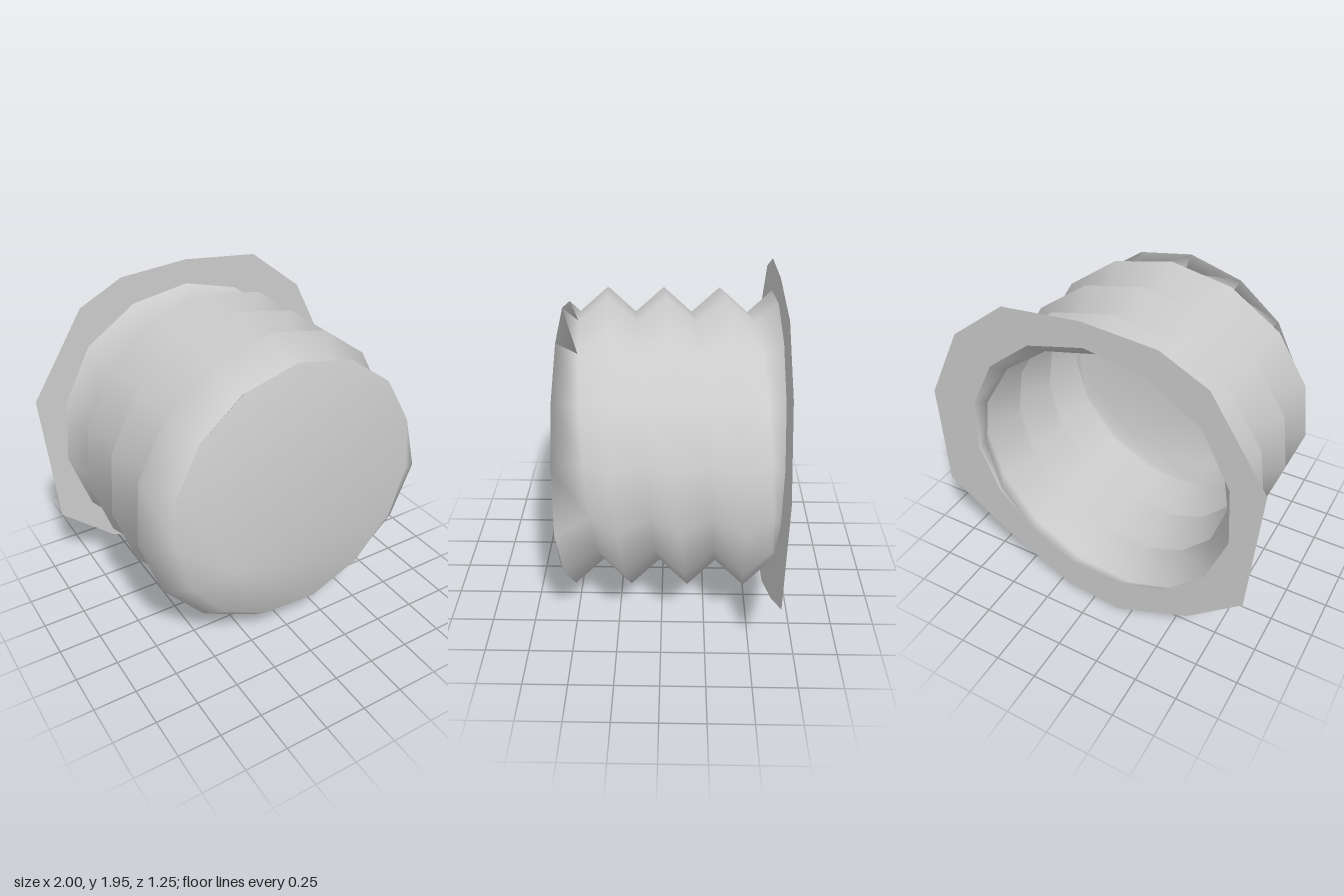
import * as THREE from 'three';
import { mergeVertices } from 'three/addons/utils/BufferGeometryUtils.js';

const SIDES = 15, PITCH = 0.32, BACK = -0.62, FRONT = 0.545;
const RIDGE = 0.86, VALLEY = 0.72, CX = -0.015, CY = 0.98;

// Point on the spiral fold: k counts half turns of the thread (even = ridge, odd = valley)
function foldPoint(i, k) {
  const turn = i / SIDES, phi = turn * Math.PI * 2;
  const start = 0.30 + PITCH * turn;
  const z = THREE.MathUtils.clamp(start + k * PITCH / 2, BACK, FRONT);
  const cycle = (z - start) / PITCH;
  const away = Math.abs(cycle - Math.round(cycle)) * 2;
  let r = THREE.MathUtils.lerp(RIDGE, VALLEY, away);
  if (z === FRONT) r = Math.min(r, 0.8);
  return [CX - Math.sin(phi) * r, CY + Math.cos(phi) * r, z];
}

// Spiral bellows wall closed at the front by a shallow off-centre cone
function bellowsGeometry() {
  const pos = [];
  const first = -8, last = 2, apex = [-0.46, 0.7, 0.63];
  for (let i = 0; i < SIDES; i++) {
    for (let k = first; k < last; k++) {
      const a = foldPoint(i, k), b = foldPoint(i + 1, k);
      const c = foldPoint(i + 1, k + 1), d = foldPoint(i, k + 1);
      if (a[2] < b[2] || b[2] < c[2]) pos.push(...a, ...b, ...c);
      if (a[2] < d[2] || d[2] < c[2]) pos.push(...a, ...c, ...d);
    }
    pos.push(...foldPoint(i, last), ...foldPoint(i + 1, last), ...apex);
  }
  const g = new THREE.BufferGeometry();
  g.setAttribute('position', new THREE.Float32BufferAttribute(pos, 3));
  const merged = mergeVertices(g, 1e-3);
  merged.computeVertexNormals();
  return merged;
}

// Thin uneven flange around the open back
function flangeGeometry() {
  const outline = [
    [-0.42, 1.92], [-0.01, 1.95], [0.45, 1.90], [0.78, 1.64], [1.0, 1.20], [0.99, 0.55], [0.6, 0.28],
    [0.17, 0.04], [-0.17, 0], [-0.62, 0.2], [-0.94, 0.48], [-1.0, 1.29], [-0.68, 1.79],
  ];
  const shape = new THREE.Shape(outline.map(([x, y]) => new THREE.Vector2(x, y)));
  const rim = [];
  for (let i = 0; i < SIDES; i++) {
    const [x, y] = foldPoint(i, -8);
    rim.push(new THREE.Vector2(x, y));
  }
  shape.holes.push(new THREE.Path(rim));
  return new THREE.ShapeGeometry(shape).translate(0, 0, BACK);
}

export function createModel() {
  const group = new THREE.Group();
  group.name = 'bellowsCap';
  const material = new THREE.MeshStandardMaterial({ color: 0xcccccc, side: THREE.DoubleSide });

  const bellows = new THREE.Mesh(bellowsGeometry(), material);
  bellows.name = 'bellows';
  const flange = new THREE.Mesh(flangeGeometry(), material);
  flange.name = 'flange';

  group.add(bellows, flange);
  return group;
}
